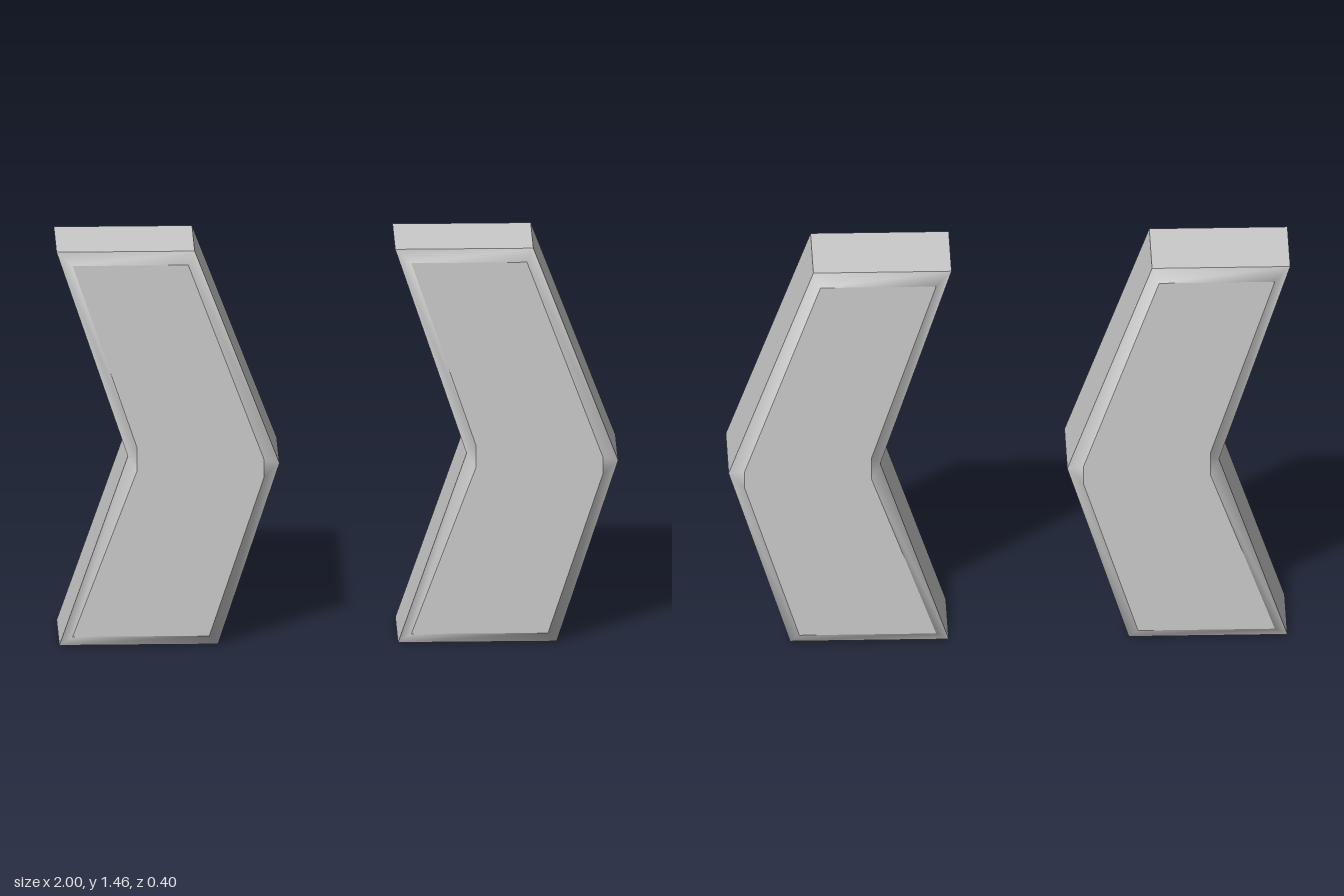
import * as THREE from 'three';
import { mergeGeometries, mergeVertices } from 'three/addons/utils/BufferGeometryUtils.js';

// Outlines run counter-clockwise seen from the front; the knee corners are
// doubled in the outer one so that it pairs with the clipped inner one.
const OUTER = [[-0.397, 1.46], [-0.143, 0.7], [-0.143, 0.7], [-0.387, 0],
  [0.178, 0], [0.397, 0.67], [0.397, 0.67], [0.095, 1.46]];
const INNER = [[-0.341, 1.42], [-0.111, 0.743], [-0.111, 0.658], [-0.341, 0.043],
  [0.146, 0.043], [0.341, 0.63], [0.341, 0.695], [0.071, 1.42]];
const SIDE_Z = 0.16, FACE_Z = 0.2, SPACING = 0.603;

function fromTriangles(triangles, smooth) {
  let geometry = new THREE.BufferGeometry();
  geometry.setAttribute('position', new THREE.Float32BufferAttribute(triangles.flat(2), 3));
  if (smooth) geometry = mergeVertices(geometry);
  geometry.computeVertexNormals();
  return smooth ? geometry.toNonIndexed() : geometry;
}

// Band of faces from a back outline to a front outline
function band(back, zBack, front, zFront, smooth) {
  const triangles = [];
  const add = (...t) => {
    const [a, b, c] = t.map((p) => p.join());
    if (a !== b && b !== c && c !== a) triangles.push(t);
  };
  back.forEach((p, i) => {
    const j = (i + 1) % back.length;
    const a = [...p, zBack], b = [...back[j], zBack];
    const c = [...front[j], zFront], d = [...front[i], zFront];
    add(a, b, c);
    add(a, c, d);
  });
  return fromTriangles(triangles, smooth);
}

// Flat end face, turned over for the back
function cap(outline, z) {
  const points = outline.map((p) => new THREE.Vector2(...p));
  const triangles = THREE.ShapeUtils.triangulateShape(points, []).map((face) => {
    const t = face.map((i) => [...outline[i], z]);
    return z > 0 ? t : t.reverse();
  });
  return fromTriangles(triangles, false);
}

export function createModel() {
  const group = new THREE.Group();
  group.name = 'chevronPair';
  const material = new THREE.MeshStandardMaterial({ color: 0xcccccc });

  // Flat sides and faces, softly shaded bevels
  const geometry = mergeGeometries([
    cap(INNER, -FACE_Z),
    band(INNER, -FACE_Z, OUTER, -SIDE_Z, true),
    band(OUTER, -SIDE_Z, OUTER, SIDE_Z, false),
    band(OUTER, SIDE_Z, INNER, FACE_Z, true),
    cap(INNER, FACE_Z),
  ]);

  // Two identical chevrons side by side
  for (const [name, x] of [['rightChevron', -SPACING], ['leftChevron', SPACING]]) {
    const chevron = new THREE.Mesh(geometry, material);
    chevron.name = name;
    chevron.position.x = x;
    group.add(chevron);
  }
  return group;
}
